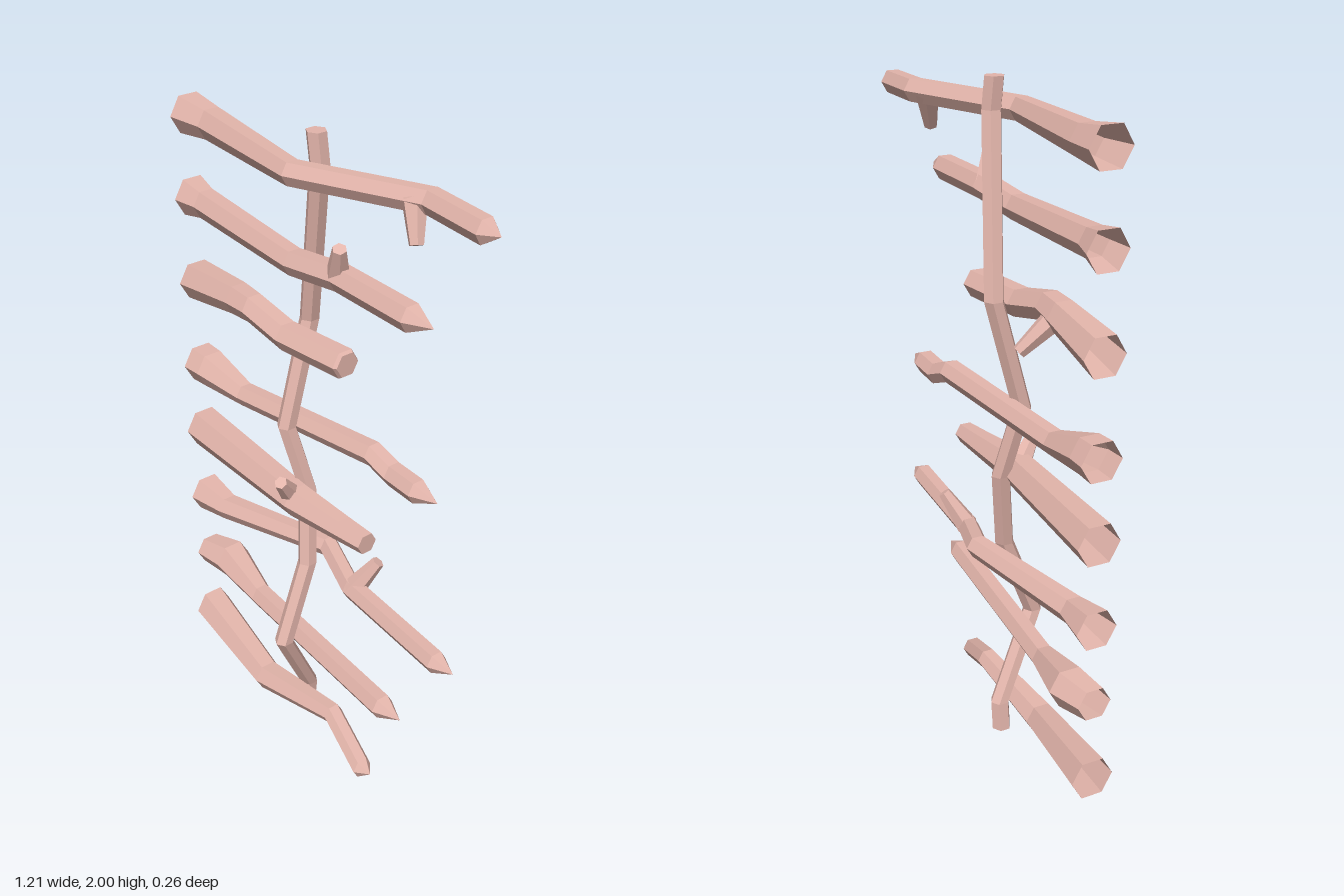
import * as THREE from 'three';

const bark = new THREE.MeshStandardMaterial({ color: 0xe3b5ab, flatShading: true, side: THREE.DoubleSide });
const SIDES = 6;

// Six-sided limb through {p, r} stations; rings stand square to `axis`, r = 0 closes to a point.
function limb(name, stations, axis) {
  const d = axis.clone().normalize();
  const u = new THREE.Vector3(0, 0, 1).addScaledVector(d, -d.z).normalize();
  const v = new THREE.Vector3().crossVectors(d, u);
  const corner = ({ p, r }, i) => {
    const a = (i / SIDES) * Math.PI * 2;
    return p.clone().addScaledVector(u, r * Math.cos(a)).addScaledVector(v, r * Math.sin(a));
  };
  const points = [];
  for (let k = 0; k < stations.length - 1; k++) {
    const s = stations[k], t = stations[k + 1];
    for (let i = 0; i < SIDES; i++) {
      if (s.r > 0) points.push(corner(s, i), corner(s, i + 1), corner(t, i + 1));
      if (t.r > 0) points.push(corner(s, i), corner(t, i + 1), corner(t, i));
    }
  }
  const geo = new THREE.BufferGeometry().setFromPoints(points);
  geo.computeVertexNormals();
  const mesh = new THREE.Mesh(geo, bark);
  mesh.name = name;
  return mesh;
}

const vec = (x, y, z) => new THREE.Vector3(x, y, z);
const station = (p, r) => ({ p, r });

// Branch with a flared open butt at height y. Knees are [x, rise, z]: the first has radius
// `thick`, the rest `thin`. It ends in a point at x = tip, or is sawn off if tip is null.
// An optional twig grows from the branch at x, along `grow`.
function branch(name, { y, butt = 0.063, thick, thin, knees, tip = null, twig }) {
  const group = new THREE.Group();
  group.name = name;
  const stations = [station(vec(-0.605, y, -0.01), butt)];
  knees.forEach(([x, rise, z], i) => stations.push(station(vec(x, y + rise, z), i ? thin : thick)));
  const last = stations[stations.length - 1];
  if (tip === null) last.r = thin * 0.85;
  stations.push(station(vec(tip ?? last.p.x, last.p.y, last.p.z), 0));
  group.add(limb('limb', stations, vec(1, 0, 0)));

  if (twig) {
    const k = stations.findIndex((s) => s.p.x > twig.x);
    const a = stations[k - 1].p, b = stations[k].p;
    const base = a.clone().lerp(b, (twig.x - a.x) / (b.x - a.x));
    const grow = vec(...twig.grow);
    const end = base.clone().add(grow);
    group.add(limb('twig', [station(base, 0.036), station(end, 0.02), station(end, 0)], grow));
  }
  return group;
}

export function createModel() {
  const group = new THREE.Group();
  group.name = 'branchLadder';

  // Crooked upright crossing every branch, closed at both ends
  const bends = [
    [-0.11, 0, -0.04], [-0.1, 0.09, -0.04], [-0.05, 0.36, 0.1], [-0.06, 0.62, -0.005], [-0.095, 0.86, -0.035],
    [-0.137, 1.08, 0.01], [-0.138, 1.41, -0.08], [-0.037, 1.91, -0.035], [-0.045, 2, -0.03],
  ].map((b) => station(vec(...b), 0.03));
  const ends = [bends[0], bends[bends.length - 1]].map((s) => station(s.p, 0));
  group.add(limb('upright', [ends[0], ...bends, ends[1]], vec(0, 1, 0)));

  // Branches from bottom to top
  group.add(
    branch('bottomBranch', {
      y: 0.117, butt: 0.066, thick: 0.05, thin: 0.034, tip: 0.33,
      knees: [[-0.22, -0.045, 0.04], [0.1, -0.005, 0.02], [0.29, -0.075, 0.06]],
    }),
    branch('secondBranch', {
      y: 0.365, butt: 0.052, thick: 0.064, thin: 0.039, tip: 0.46,
      knees: [[-0.5, 0.003, -0.03], [-0.3, -0.02, 0], [0.38, 0, 0.065]],
    }),
    branch('thirdBranch', {
      y: 0.6, thick: 0.043, thin: 0.035, tip: 0.6,
      knees: [[-0.48, 0, -0.01], [-0.07, 0.03, -0.1], [0.11, 0, -0.04], [0.53, 0, 0]],
      twig: { x: 0.12, grow: [0.05, 0.105, -0.055] },
    }),
    branch('fourthBranch', {
      y: 0.858, butt: 0.066, thick: 0.053, thin: 0.04,
      knees: [[-0.06, 0.004, 0.03], [0.14, 0.002, 0.02], [0.24, 0.002, 0.015]],
      twig: { x: -0.085, grow: [0.03, 0.093, 0.07] },
    }),
    branch('fifthBranch', {
      y: 1.097, thick: 0.06, thin: 0.037, tip: 0.44,
      knees: [[-0.54, 0, -0.01], [-0.38, -0.027, -0.02], [0.17, 0.003, -0.065],
        [0.25, -0.027, -0.07], [0.36, -0.027, -0.062]],
    }),
    branch('sixthBranch', {
      y: 1.384, thick: 0.05, thin: 0.045,
      knees: [[-0.36, 0.031, 0.01], [-0.27, 0.036, 0.02], [-0.12, 0.003, 0.015], [0.11, 0.002, -0.005], [0.12, 0.002, -0.005]],
      twig: { x: -0.335, grow: [0.03, -0.1, -0.105] },
    }),
    branch('seventhBranch', {
      y: 1.656, thick: 0.046, thin: 0.04, tip: 0.5,
      knees: [[-0.52, 0.002, 0], [-0.06, -0.014, 0.035], [0.13, 0.006, 0.03], [0.42, 0.004, 0.043]],
      twig: { x: 0.12, grow: [0.04, 0.1, 0.03] },
    }),
    branch('topBranch', {
      y: 1.907, thick: 0.049, thin: 0.037, tip: 0.6,
      knees: [[-0.49, -0.002, -0.01], [-0.04, -0.002, 0.055], [0.34, 0.003, -0.085], [0.55, -0.002, -0.065]],
      twig: { x: 0.295, grow: [0.045, -0.105, 0.03] },
    }),
  );
  return group;
}
